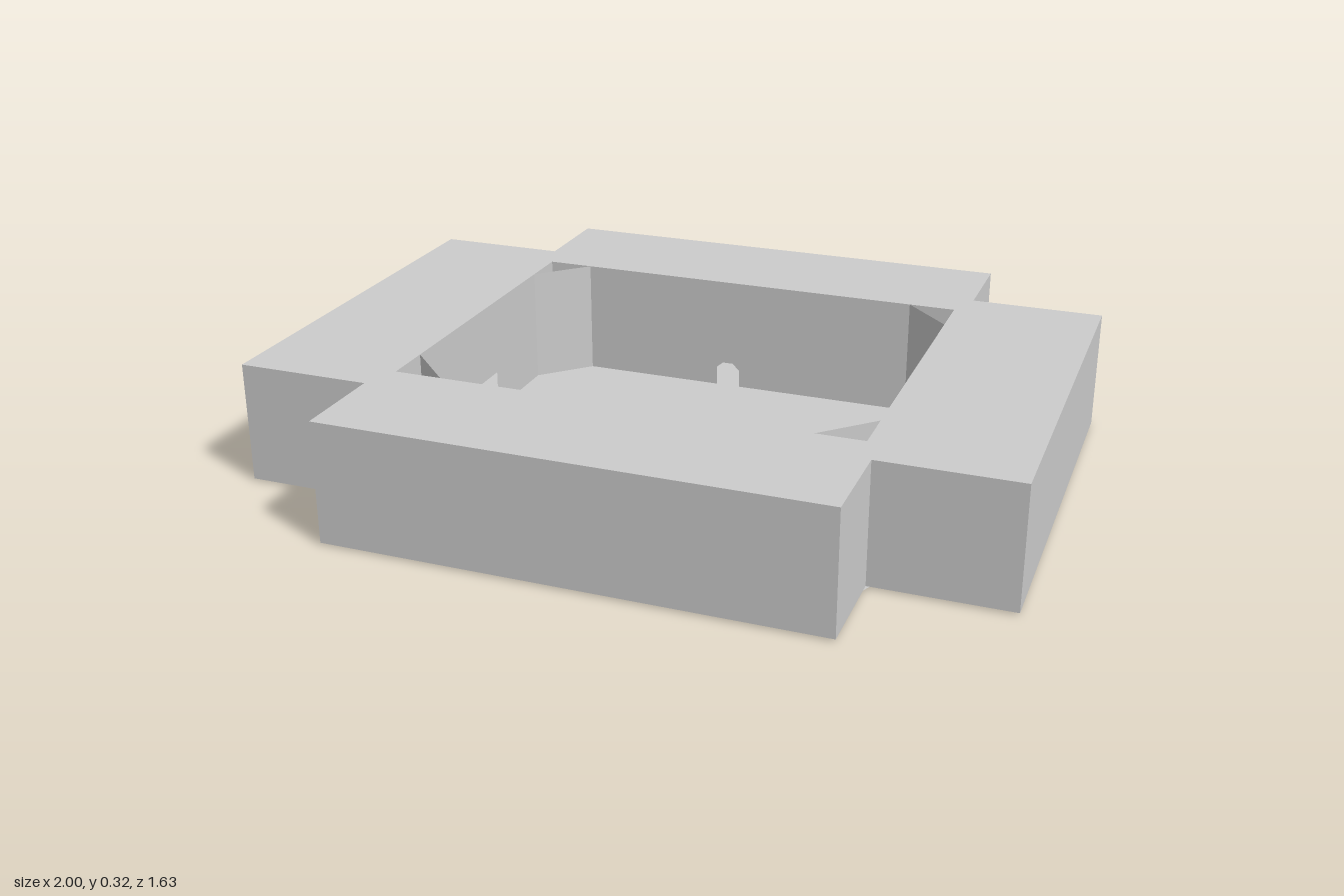
import * as THREE from 'three';

const H = 0.325, BASE = 0.005;      // rim height, underside of the arms
const OX = 0.61, OZ = 0.47;         // half size of the central opening
const CUT = 0.125;                  // length of the corner cut

const material = new THREE.MeshStandardMaterial({ color: 0xcccccc, side: THREE.DoubleSide, flatShading: true });

function polygon(points) {
  return new THREE.Shape(points.map(([x, y]) => new THREE.Vector2(x, y)));
}

function addMesh(group, name, geometry) {
  const mesh = new THREE.Mesh(geometry, material);
  mesh.name = name;
  group.add(mesh);
  return mesh;
}

// Horizontal sheet facing up or down
function addSheet(group, name, shape, y, up) {
  const geometry = new THREE.ShapeGeometry(shape);
  geometry.rotateX(up ? -Math.PI / 2 : Math.PI / 2);
  geometry.translate(0, y, 0);
  return addMesh(group, name, geometry);
}

// Upright thin panel between two plan points; its front is on the right of the path
function addPanel(group, name, [x0, z0], [x1, z1], notch) {
  const length = Math.hypot(x1 - x0, z1 - z0), h = H - BASE;
  const points = [[0, 0], ...(notch ? notch(length / 2) : []), [length, 0], [length, h], [0, h]];
  const mesh = addMesh(group, name, new THREE.ShapeGeometry(polygon(points)));
  mesh.position.set(x0, BASE, z0);
  mesh.rotation.y = Math.atan2(-(z1 - z0), x1 - x0);
}

// Low openings at the foot of the inner walls
const wideDoor = (m) => [[m - 0.08, 0], [m - 0.08, 0.11], [m + 0.08, 0.11], [m + 0.08, 0]];
const narrowDoor = (m) => [[m - 0.083, 0], [m - 0.083, 0.055], [m - 0.065, 0.07],
  [m - 0.035, 0.07], [m - 0.015, 0.05], [m - 0.015, 0]];

export function createModel() {
  const model = new THREE.Group();
  const ax = 0.645, az = 0.565, ez = 0.817;

  // Cross-shaped plan
  const cross = [[ax, ez], [ax, az], [1, az], [1, -az], [ax, -az], [ax, -ez],
    [-ax, -ez], [-ax, -az], [-1, -az], [-1, az], [-ax, az], [-ax, ez]];

  // Flat top with the rectangular opening
  const rim = polygon(cross);
  rim.holes.push(polygon([[-OX, -OZ], [OX, -OZ], [OX, OZ], [-OX, OZ]]));
  addSheet(model, 'topRim', rim, H, true);

  // Floor and the slightly lower plate beneath it
  addSheet(model, 'floor', polygon(cross), BASE, true);
  addSheet(model, 'basePlate', polygon([[0.66, 0.54], [0.62, 0.63], [-0.62, 0.63], [-0.66, 0.54],
    [-0.66, -0.54], [-0.62, -0.63], [0.62, -0.63], [0.66, -0.54]]), 0, false);

  // Outer walls
  cross.forEach((p, i) => addPanel(model, 'outerWall', cross[(i + 1) % cross.length], p));

  // Inner walls and diagonal corner panels, repeated by a half turn
  for (const s of [1, -1]) {
    addPanel(model, 'innerLongWall', [-OX * s, -OZ * s], [OX * s, -OZ * s], narrowDoor);
    addPanel(model, 'innerShortWall', [-OX * s, OZ * s], [-OX * s, -OZ * s], wideDoor);
    addPanel(model, 'cornerPanel', [-OX * s, (-OZ + CUT) * s], [(-OX + CUT) * s, -OZ * s]);
    addPanel(model, 'cornerPanel', [(OX - CUT) * s, -OZ * s], [OX * s, (-OZ + CUT) * s]);
  }
  return model;
}
